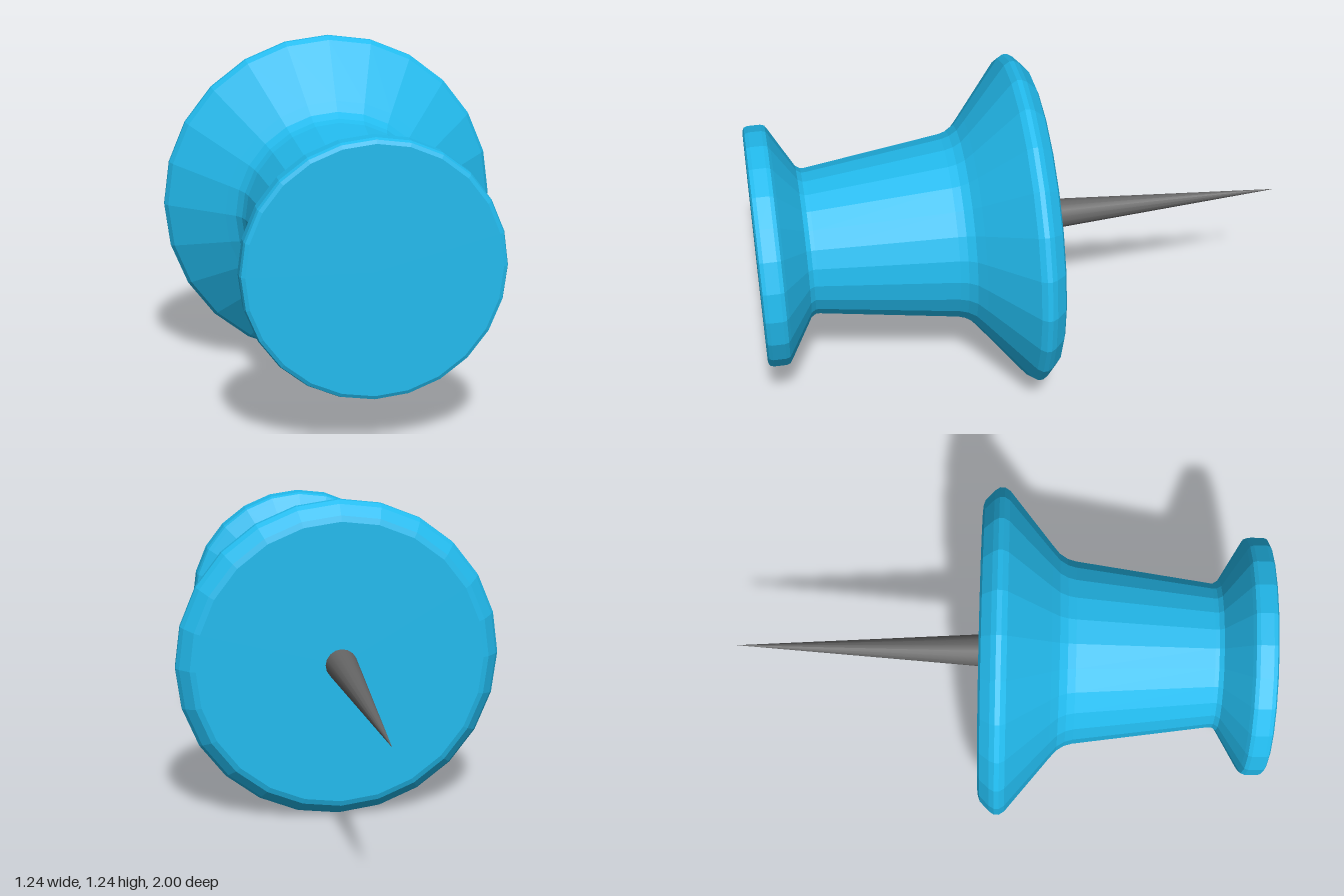
import * as THREE from 'three';

const AXIS_Y = 0.625;

// Places a geometry turned around y so that its axis runs along z
function turned(name, geometry, color, flatShading) {
  geometry.rotateX(Math.PI / 2);
  const mesh = new THREE.Mesh(geometry, new THREE.MeshStandardMaterial({ color, flatShading }));
  mesh.name = name;
  mesh.position.y = AXIS_Y;
  return mesh;
}

export function createModel() {
  const group = new THREE.Group();
  group.name = 'pushPin';

  // Plastic grip: [radius, z] from the back of the collar to the front of the cap
  const profile = [
    [0, -0.07], [0.55, -0.07], [0.572, -0.062], // back face
    [0.608, -0.027], [0.62, -0.008], [0.62, 0.01], [0.607, 0.03], // collar rim
    [0.41, 0.19], [0.375, 0.22], [0.356, 0.25], [0.347, 0.28], // flare into the neck
    [0.274, 0.79], [0.274, 0.805], [0.285, 0.822], // neck
    [0.43, 0.908], [0.445, 0.918], [0.45, 0.932], // cap underside
    [0.45, 0.98], [0.445, 0.994], [0.432, 1], [0, 1], // cap rim and face
  ].map(([r, z]) => new THREE.Vector2(r, z));
  group.add(turned('grip', new THREE.LatheGeometry(profile, 24), 0x22bbee, true));

  // Steel needle, its base set into the collar
  const needle = new THREE.ConeGeometry(0.062, 0.95, 16);
  needle.rotateX(Math.PI);
  needle.translate(0, -0.525, 0);
  group.add(turned('needle', needle, 0x666666, false));

  return group;
}
